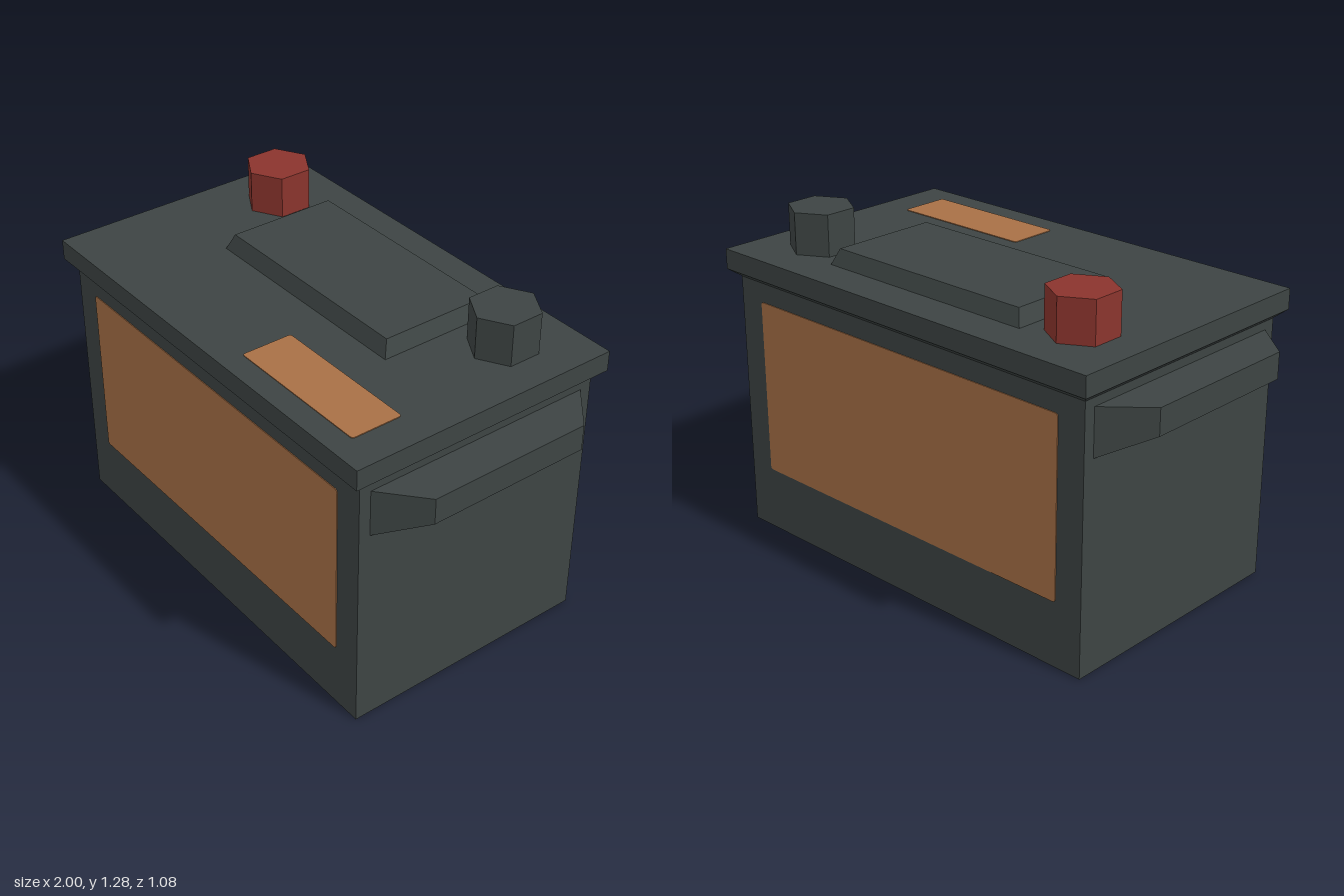
import * as THREE from 'three';

// Box whose corners are moved by a rule
function shapedBox(w, h, d, rule) {
  const geo = new THREE.BoxGeometry(w, h, d);
  const p = geo.attributes.position;
  const v = new THREE.Vector3();
  for (let i = 0; i < p.count; i++) {
    rule(v.fromBufferAttribute(p, i));
    p.setXYZ(i, v.x, v.y, v.z);
  }
  geo.computeVertexNormals();
  return geo;
}

// Thin plate with slightly rounded corners, facing +z
function labelPlate(w, h, r = 0.012) {
  const x = w / 2, y = h / 2;
  const s = new THREE.Shape();
  s.moveTo(-x + r, -y);
  s.lineTo(x - r, -y);
  s.quadraticCurveTo(x, -y, x, -y + r);
  s.lineTo(x, y - r);
  s.quadraticCurveTo(x, y, x - r, y);
  s.lineTo(-x + r, y);
  s.quadraticCurveTo(-x, y, -x, y - r);
  s.lineTo(-x, -y + r);
  s.quadraticCurveTo(-x, -y, -x + r, -y);
  return new THREE.ExtrudeGeometry(s, { depth: 0.003, bevelEnabled: false, curveSegments: 4 });
}

export function createModel() {
  const group = new THREE.Group();
  const material = (name, color) => {
    const m = new THREE.MeshStandardMaterial({ color, flatShading: true });
    m.name = name;
    return m;
  };
  const casing = material('charcoal casing', 0x3d4443);
  const red = material('red terminal', 0x8a342d);
  const tan = material('tan label', 0xa87046);

  const add = (name, geo, mat, x, y, z) => {
    const mesh = new THREE.Mesh(geo, mat);
    mesh.name = name;
    mesh.position.set(x, y, z);
    group.add(mesh);
    return mesh;
  };

  // Case and overhanging lid with a chamfered underside
  add('case', new THREE.BoxGeometry(1.69, 1.02, 1), casing, 0, 0.51, 0);
  add('lidChamfer', shapedBox(1.76, 0.03, 1.08, (v) => {
    if (v.y < 0) { v.x *= 0.845 / 0.88; v.z *= 0.5 / 0.54; }
  }), casing, 0, 1.027, 0);
  add('lid', new THREE.BoxGeometry(1.76, 0.078, 1.08), casing, 0, 1.081, 0);

  // Raised vent cover with sloping sides
  add('ventCover', shapedBox(0.926, 0.06, 0.48, (v) => {
    if (v.y > 0) { v.x -= Math.sign(v.x) * 0.025; v.z -= Math.sign(v.z) * 0.025; }
  }), casing, 0, 1.15, -0.15);

  // Hexagonal terminals, right one red
  for (const side of [-1, 1]) {
    add(side < 0 ? 'positiveTerminal' : 'negativeTerminal',
      new THREE.CylinderGeometry(0.127, 0.127, 0.16, 6), side < 0 ? red : casing,
      side * 0.637, 1.2, -0.278);
  }

  // Side grips narrow outward, with a sloping underside
  for (const side of [-1, 1]) {
    add(side < 0 ? 'rightGrip' : 'leftGrip', shapedBox(0.155, 0.18, 0.91, (v) => {
      if (v.x * side > 0) {
        v.z = Math.sign(v.z) * 0.32;
        if (v.y < 0) v.y += 0.08;
      }
    }), casing, side * 0.9225, 0.89, 0);
  }

  // Labels on the front, back and lid
  add('frontLabel', labelPlate(1.468, 0.685), tan, 0, 0.594, 0.5);
  add('backLabel', labelPlate(1.468, 0.685), tan, 0, 0.594, -0.5).rotation.y = Math.PI;
  add('lidLabel', labelPlate(0.592, 0.2), tan, 0.447, 1.12, 0.35).rotation.x = -Math.PI / 2;

  return group;
}
